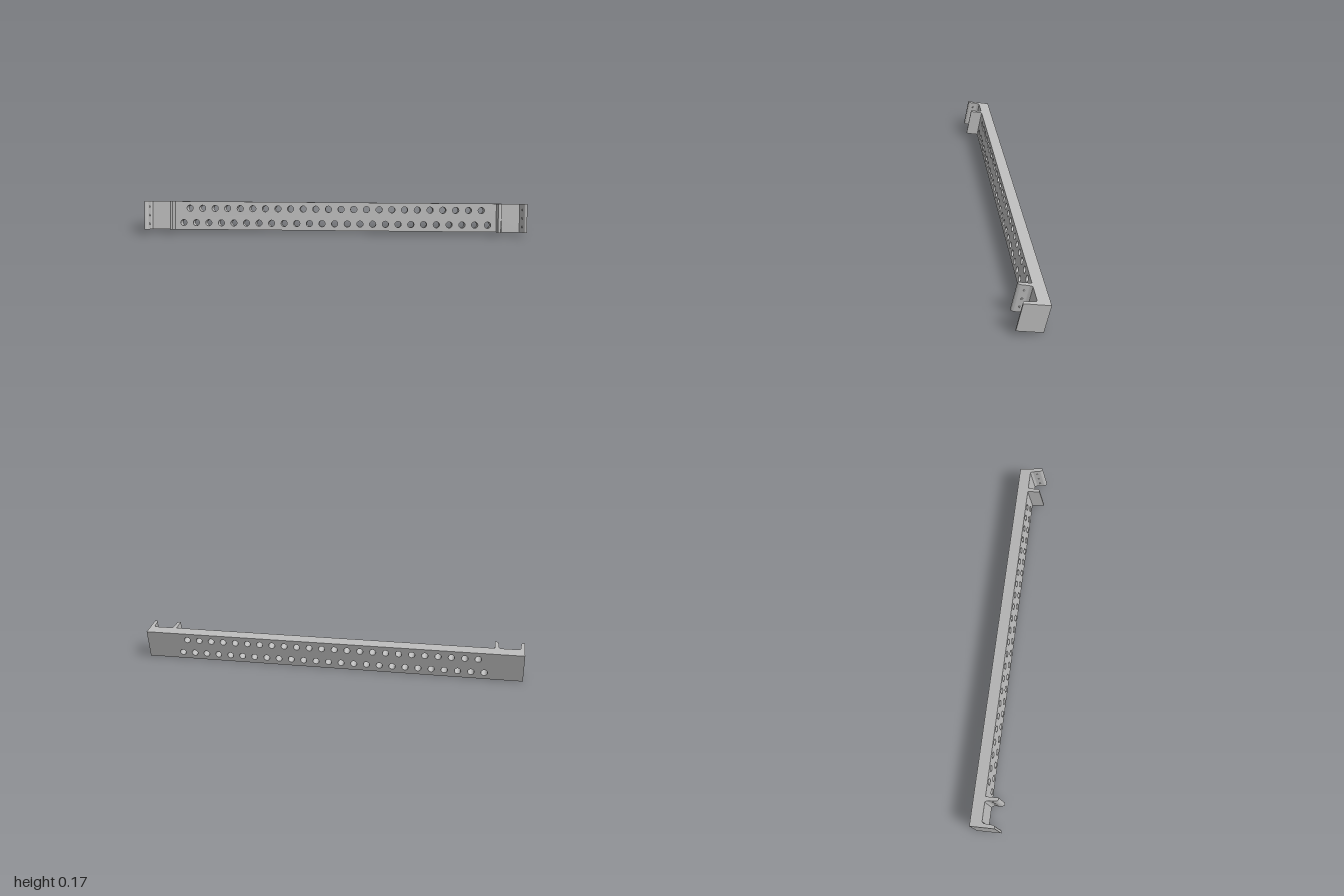
import * as THREE from 'three';
import { toCreasedNormals } from 'three/addons/utils/BufferGeometryUtils.js';

const HEIGHT = 0.15, BACK = -0.063, FACE = -0.003, TIP = 0.063;

export function createModel() {
  const grey = new THREE.MeshStandardMaterial({ color: 0xbcbcbc });
  grey.name = 'plainGrey';
  const group = new THREE.Group();
  group.name = 'perforatedBar';

  // Everything leans back by 12 degrees
  const body = new THREE.Group();
  body.name = 'tiltedBody';
  body.rotation.x = -0.2075;
  body.position.y = 0.0866;
  group.add(body);

  const add = (name, geometry) => {
    const mesh = new THREE.Mesh(toCreasedNormals(geometry, 0.6), grey);
    mesh.name = name;
    body.add(mesh);
    return mesh;
  };

  // Long plate with two staggered rows of through holes
  const h = HEIGHT / 2;
  const plate = new THREE.Shape([[-1, -h], [1, -h], [1, h], [-1, h]].map(p => new THREE.Vector2(...p)));
  const spacing = 0.0672;
  for (const [count, y] of [[24, 0.0385], [25, -0.0385]]) {
    for (let i = 0; i < count; i++) {
      const hole = new THREE.Path();
      hole.absarc((i - (count - 1) / 2) * spacing, y, 0.0165, 0, Math.PI * 2, true);
      plate.holes.push(hole);
    }
  }
  const plateGeometry = new THREE.ExtrudeGeometry(plate, { depth: FACE - BACK, bevelEnabled: false, curveSegments: 10 });
  plateGeometry.translate(0, 0, BACK);
  add('perforatedPlate', plateGeometry);

  // Upright fin: straight outer side, tapered side with a rounded tip facing the channel
  const fin = (name, x, dir) => {
    const s = new THREE.Shape();
    s.moveTo(x, FACE);
    s.lineTo(x + dir * 0.028, FACE);
    s.quadraticCurveTo(x + dir * 0.021, FACE + 0.004, x + dir * 0.02, FACE + 0.016);
    s.lineTo(x + dir * 0.018, TIP - 0.014);
    s.quadraticCurveTo(x + dir * 0.016, TIP, x + dir * 0.007, TIP);
    s.lineTo(x, TIP);
    s.closePath();
    const geometry = new THREE.ExtrudeGeometry(s, { depth: HEIGHT, bevelEnabled: false, curveSegments: 6 });
    geometry.rotateX(Math.PI / 2);
    geometry.translate(0, h, 0);
    add(name, geometry);
    // Small grip bumps on the channel side
    for (const y of [-0.045, 0, 0.045]) {
      const bump = add(name + 'Bump', new THREE.SphereGeometry(0.006, 8, 6));
      bump.position.set(x + dir * 0.017, y, 0.03);
    }
  };
  for (const side of [-1, 1]) {
    const label = side > 0 ? 'left' : 'right';
    fin(label + 'EndFin', side, -side);
    fin(label + 'InnerFin', side * 0.851, side);
  }
  return group;
}
